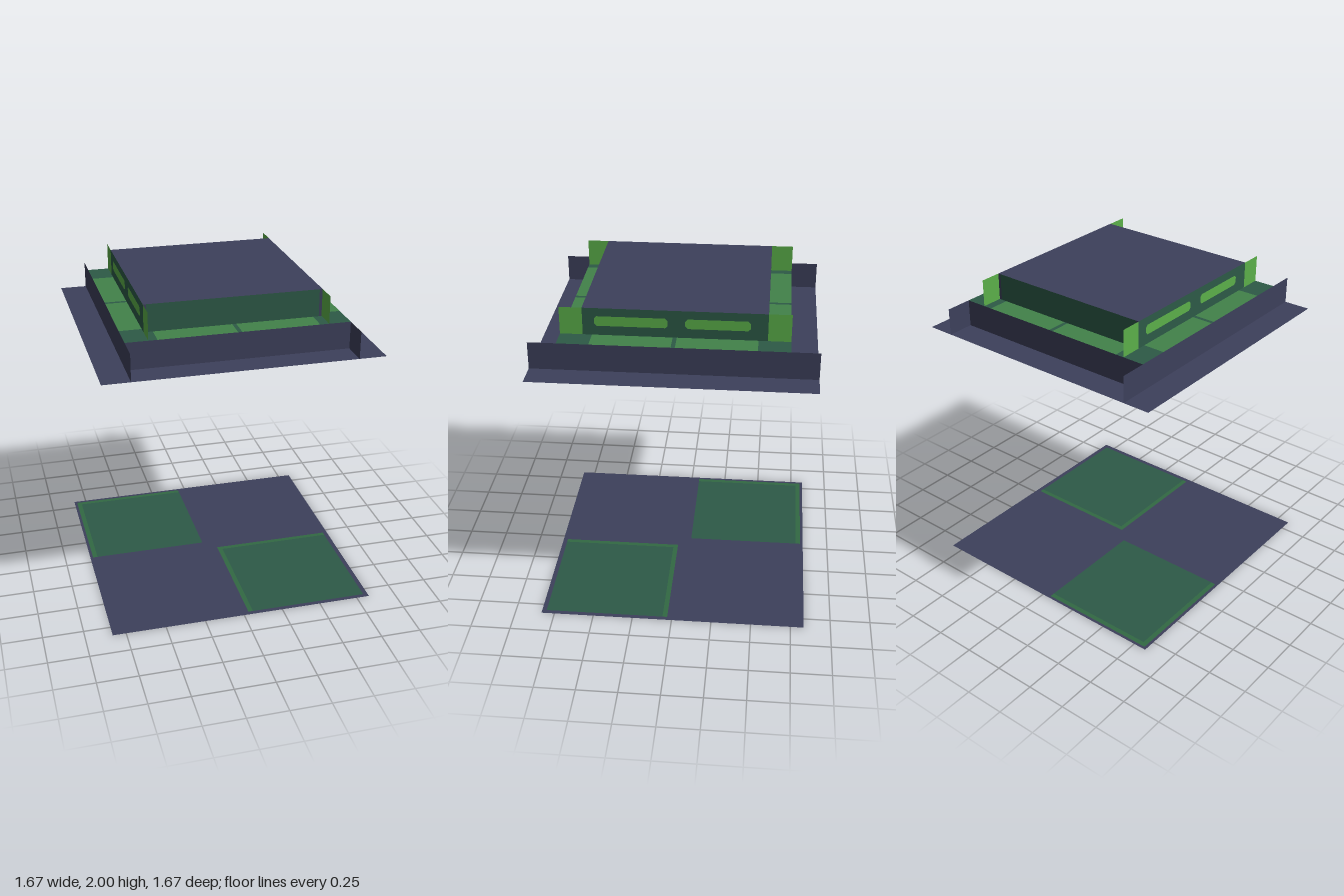
import * as THREE from 'three';

const flat = (name, color) => {
  const m = new THREE.MeshStandardMaterial({ color, side: THREE.DoubleSide });
  m.name = name;
  return m;
};

export function createModel() {
  const navy = flat('navy', 0x3d405b);
  const darkGreen = flat('darkGreen', 0x2d5a47);
  const midGreen = flat('midGreen', 0x42824a);
  const brightGreen = flat('brightGreen', 0x5cb04a);
  const edgeGreen = flat('edgeGreen', 0x326943);

  const model = new THREE.Group();
  model.name = 'tieredCanopy';

  // Outline helpers: rectangle from bounds, bar with chamfered ends
  const rect = (a, b, c, d) => [[a, c], [b, c], [b, d], [a, d]];
  const square = (r) => rect(-r, r, -r, r);
  const bar = (a, b, c, d, k = 0.015) => [
    [a + k, c], [b - k, c], [b, c + k], [b, d - k],
    [b - k, d], [a + k, d], [a, d - k], [a, c + k]];
  const toPoints = (list) => list.map(([x, y]) => new THREE.Vector2(x, y));

  // One flat sheet: 'level' spans x/z, 'front' spans x/y, 'side' spans z/y
  function sheet(parent, name, material, plane, offset, outline, holes = []) {
    const shape = new THREE.Shape(toPoints(outline));
    holes.forEach((h) => shape.holes.push(new THREE.Path(toPoints(h))));
    const g = new THREE.ShapeGeometry(shape);
    if (plane === 'level') g.rotateX(Math.PI / 2).translate(0, offset, 0);
    if (plane === 'front') g.translate(0, 0, offset);
    if (plane === 'side') g.rotateY(-Math.PI / 2).translate(offset, 0, 0);
    const mesh = new THREE.Mesh(g, material);
    mesh.name = name;
    parent.add(mesh);
  }

  const U = 1 / 6;
  const R0 = 5 * U, R1 = 4 * U, R2 = 3.2 * U;
  const Y0 = 10 * U, Y1 = 11 * U, Y2 = 2;

  // Ground sheet with two inlaid tiles, each edged on its back and right
  const tiles = [[-0.815, -0.05, -0.815, -0.055], [0.035, 0.805, 0.03, 0.805]];
  sheet(model, 'groundSheet', navy, 'level', 0, square(R0), tiles.map((t) => rect(...t)));
  tiles.forEach(([a, b, c, d]) => {
    const e = 0.03;
    sheet(model, 'groundTile', darkGreen, 'level', 0, rect(a + e, b, c + e, d));
    sheet(model, 'tileEdge', edgeGreen, 'level', 0,
      [[a, c], [b, c], [b, c + e], [a + e, c + e], [a + e, d], [a, d]]);
  });

  // Level sheets of the canopy
  sheet(model, 'brim', navy, 'level', Y0, square(R0), [square(R1)]);
  sheet(model, 'top', navy, 'level', Y2, square(R2));

  // Ledge: corners, centre dividers and lighter strips
  const A = 0.48, D = 0.012;
  for (const s of [-1, 1]) {
    const lo = s < 0 ? -R1 : R2, hi = s < 0 ? -R2 : R1;
    for (const [a, b, m] of [[-R1, -A, darkGreen], [-A, -D, midGreen],
      [-D, D, darkGreen], [D, A, midGreen], [A, R1, darkGreen]]) {
      sheet(model, 'ledgeStrip', m, 'level', Y1, rect(a, b, lo, hi));
      const c = Math.max(a, -R2), d = Math.min(b, R2);
      sheet(model, 'ledgeStrip', m, 'level', Y1, rect(lo, hi, c, d));
    }
  }

  // Upright walls: one front and one side, repeated by a half turn
  for (const turn of [0, Math.PI]) {
    const half = new THREE.Group();
    half.name = turn ? 'backAndRightWalls' : 'frontAndLeftWalls';
    half.rotation.y = turn;
    model.add(half);

    sheet(half, 'lowerWall', navy, 'front', R1, rect(-R1, R1, Y0, Y1));
    sheet(half, 'lowerSideWall', navy, 'side', R1, rect(-R0, R0, Y0, Y1));

    const e = 0.516;
    sheet(half, 'upperWall', darkGreen, 'front', R2, rect(-e, e, Y1, Y2));
    for (const [a, b] of [[-R2, -e], [e, R2]])
      sheet(half, 'wallTrim', navy, 'front', R2, rect(a, b, Y1, Y2));

    // Side wall with light bars and projecting bright ends
    const bars = [bar(0.04, 0.465, 1.89, 1.95), bar(-0.435, -0.06, 1.89, 1.95)];
    sheet(half, 'upperSideWall', darkGreen, 'side', R2, rect(-R2, R2, Y1, Y2), bars);
    bars.forEach((b) => sheet(half, 'lightBar', brightGreen, 'side', R2, b));
    for (const [a, b] of [[-R1, -R2], [R2, R1]])
      sheet(half, 'wallFin', brightGreen, 'side', R2, rect(a, b, Y1, Y2));
  }
  return model;
}
